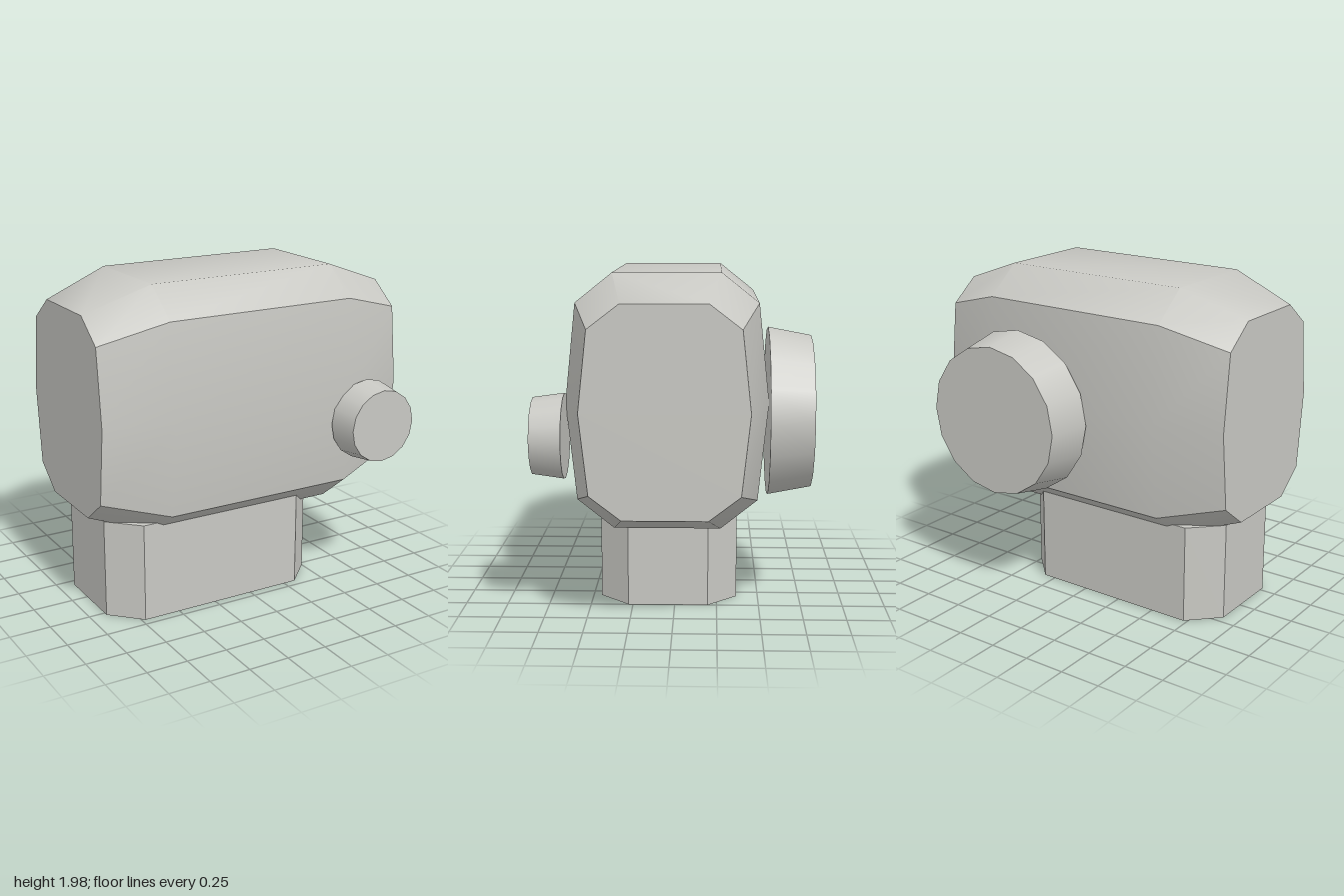
import * as THREE from 'three';
import { toCreasedNormals } from 'three/addons/utils/BufferGeometryUtils.js';

const MID_Y = 1.24, MID_Z = 0.04;

// Ten-sided ring at one x station, running from +z round over the top
function ring(x, [midZ, sideZ, sideY, topZ, topY]) {
  const half = [[midZ, 0], [sideZ, sideY], [topZ, topY], [-topZ, topY], [-sideZ, sideY]];
  const all = [...half, ...half.map(([z, y]) => [-z, -y])];
  return all.map(([z, y]) => [x, MID_Y + y, MID_Z + z]);
}

function housingGeometry() {
  const big = [0.583, 0.523, 0.57, 0.31, 0.74];
  const small = [0.47, 0.42, 0.457, 0.24, 0.595];
  const rings = [ring(-1, small), ring(-0.6, big), ring(0.6, big), ring(1, small)];
  const n = rings[0].length, pos = [];
  const tri = (...points) => points.forEach((p) => pos.push(...p));
  for (let i = 0; i < rings.length - 1; i++) {
    for (let j = 0; j < n; j++) {
      const k = (j + 1) % n;
      const a = rings[i][j], b = rings[i + 1][j], c = rings[i + 1][k], d = rings[i][k];
      tri(a, b, c);
      tri(a, c, d);
    }
  }
  // Flat end faces
  const left = rings[rings.length - 1], right = rings[0];
  for (let j = 1; j < n - 1; j++) {
    tri(right[0], right[j], right[j + 1]);
    tri(left[0], left[j + 1], left[j]);
  }
  const geo = new THREE.BufferGeometry();
  geo.setAttribute('position', new THREE.Float32BufferAttribute(pos, 3));
  return toCreasedNormals(geo, 0.73);
}

// Rectangular block with cut corners, standing on y = 0
function baseGeometry(x0, x1, z0, z1, cut, height) {
  const shape = new THREE.Shape([
    [x0 + cut, -z1], [x1 - cut, -z1], [x1, -z1 + cut], [x1, -z0 - cut],
    [x1 - cut, -z0], [x0 + cut, -z0], [x0, -z0 - cut], [x0, -z1 + cut],
  ].map(([x, y]) => new THREE.Vector2(x, y)));
  return new THREE.ExtrudeGeometry(shape, { depth: height, bevelEnabled: false }).rotateX(-Math.PI / 2);
}

export function createModel() {
  const model = new THREE.Group();
  const grey = new THREE.MeshStandardMaterial({ color: 0xc8c8c3 });
  grey.name = 'warm grey';

  const add = (name, geometry) => {
    const mesh = new THREE.Mesh(geometry, grey);
    mesh.name = name;
    model.add(mesh);
    return mesh;
  };

  // Tapered round knob pointing along z, narrow end outward
  const knob = (name, x, y, inner, outer, rInner, rOuter) => {
    const geo = new THREE.CylinderGeometry(rOuter, rInner, Math.abs(outer - inner), 16);
    geo.rotateX(Math.sign(outer - inner) * Math.PI / 2);
    add(name, geo).position.set(x, y, (inner + outer) / 2);
  };

  add('housing', housingGeometry());
  add('base', baseGeometry(-0.9, 0.5, -0.37, 0.45, 0.173, 0.6));
  knob('frontKnob', 0.705, 1.065, 0.615, 0.795, 0.246, 0.221);
  knob('backDrum', 0.353, 1.155, -0.543, -0.795, 0.498, 0.45);

  return model;
}
